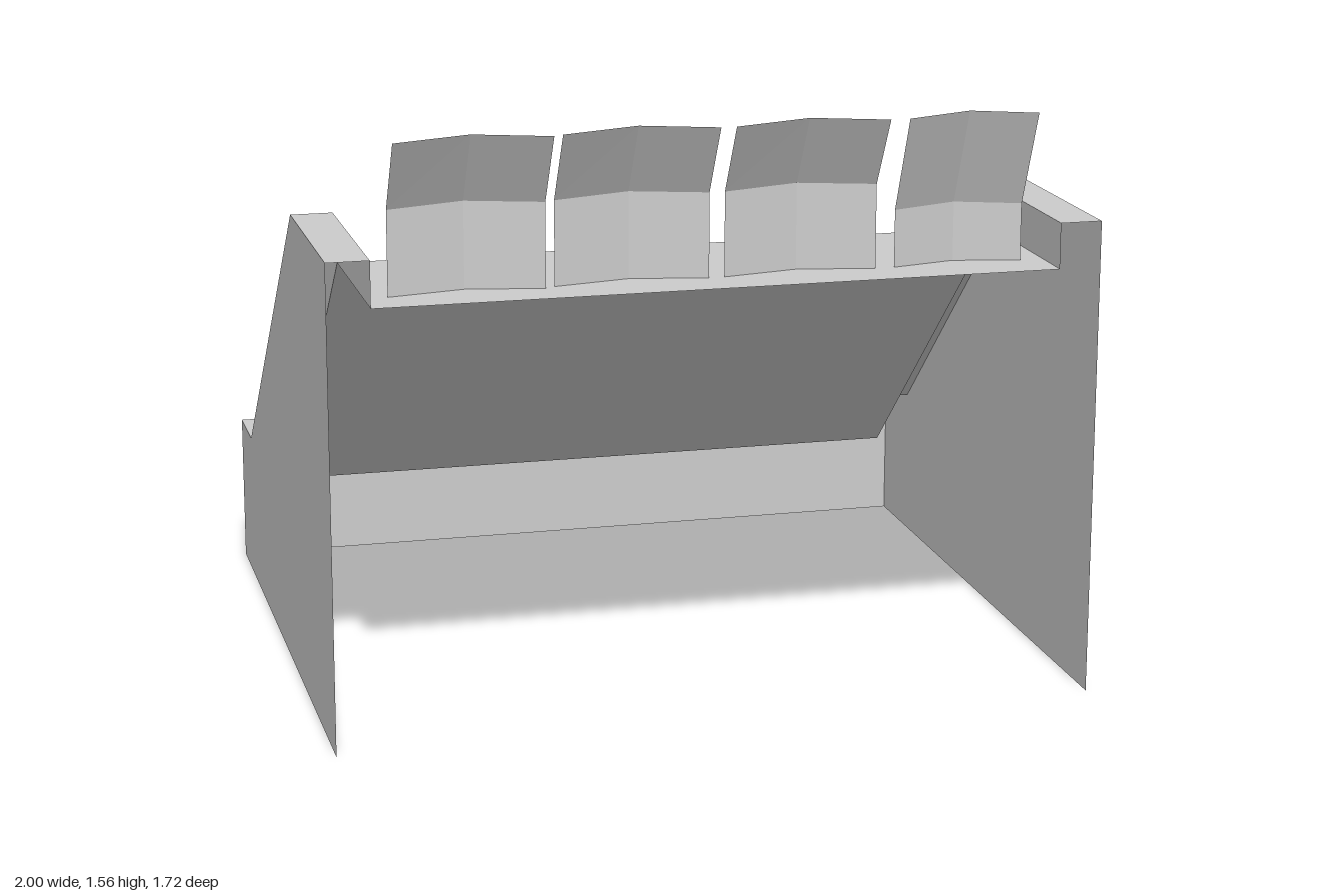
import * as THREE from 'three';

const grey = new THREE.MeshStandardMaterial({ color: 0xcccccc, side: THREE.DoubleSide });
grey.name = 'light grey';

// Outlines in (z, y), running from the low back to the high front
const RIM = [[-0.86, 0.415], [-0.655, 0.415], [0.28, 1.27], [0.86, 1.27]];
const DECK = [[-0.86, 0.3], [-0.605, 0.3], [0.34, 1.15], [0.86, 1.15]];
const HALF = 1, INNER = 0.89;

function addMesh(parent, name, geometry) {
  const mesh = new THREE.Mesh(geometry, grey);
  mesh.name = name;
  parent.add(mesh);
  return mesh;
}

// Faceted sheet through rows of [x, y, z] points
function sheet(rows) {
  const cols = rows[0].length, index = [];
  for (let r = 0; r < rows.length - 1; r++) {
    for (let c = 0; c < cols - 1; c++) {
      const a = r * cols + c, b = a + cols;
      index.push(a, a + 1, b, b, a + 1, b + 1);
    }
  }
  const g = new THREE.BufferGeometry();
  g.setAttribute('position', new THREE.Float32BufferAttribute(rows.flat(2), 3));
  g.setIndex(index);
  const flat = g.toNonIndexed();
  flat.computeVertexNormals();
  return flat;
}

// Sweep a (z, y) profile straight across x
const band = (x0, x1, profile) => sheet(profile.map(([z, y]) => [[x0, y, z], [x1, y, z]].reverse()));

// Flat wall with a (z, y) outline standing at x
function wall(x, outline) {
  const shape = new THREE.Shape(outline.map(([z, y]) => new THREE.Vector2(z, y)));
  return new THREE.ShapeGeometry(shape).rotateY(-Math.PI / 2).translate(x, 0, 0);
}

// Shallow rounded strip following the floor and the slope up to zEnd
function ridge(x0, x1, zEnd, height) {
  const slope = 0.85 / 0.945, len = Math.hypot(1, slope);
  const path = [
    { z: -0.7, y: 0.302, n: [0, 1] },
    { z: -0.612, y: 0.302, n: [0, 1] },
    { z: zEnd, y: 0.3 + (zEnd + 0.605) * slope, n: [-slope / len, 1 / len] },
  ];
  const steps = 6;
  return sheet(path.map(({ z, y, n }) => Array.from({ length: steps + 1 }, (_, i) => {
    const h = 0.002 + height * Math.sin(Math.PI * i / steps);
    return [x1 + (x0 - x1) * i / steps, y + n[1] * h, z + n[0] * h];
  })));
}

// Upright panel creased down the middle and leaning forward at the top
function uprightPanel(x0, x1, z, foldY) {
  const mid = (x0 + x1) / 2;
  const row = (y, dz, crown) => [[x1, y, z + dz + 0.04], [mid, y + crown, z + dz], [x0, y, z + dz + 0.04]];
  return sheet([row(1.15, 0, 0), row(foldY, 0, 0.005), row(1.555, 0.108, 0.006)]);
}

export function createModel() {
  const model = new THREE.Group();
  model.name = 'slopedStand';

  // Hollow casing, open at the front and underneath
  const casing = new THREE.Group();
  casing.name = 'casing';
  model.add(casing);
  for (const s of [1, -1]) {
    const side = s > 0 ? 'left' : 'right';
    addMesh(casing, side + 'OuterWall', wall(s * HALF, [[-0.86, 0], ...RIM, [0.86, 0]]));
    addMesh(casing, side + 'InnerWall', wall(s * INNER, [...RIM, ...[...DECK].reverse()]));
    addMesh(casing, side + 'Rim', band(Math.min(s * HALF, s * INNER), Math.max(s * HALF, s * INNER), RIM));
  }
  addMesh(casing, 'deck', band(-INNER, INNER, DECK));

  // Back wall with low middle and raised corners
  const back = new THREE.Shape([
    [-HALF, 0], [HALF, 0], [HALF, 0.415], [INNER, 0.415],
    [INNER, 0.3], [-INNER, 0.3], [-INNER, 0.415], [-HALF, 0.415],
  ].map(([x, y]) => new THREE.Vector2(x, y)));
  addMesh(casing, 'backWall', new THREE.ShapeGeometry(back).rotateY(Math.PI).translate(0, 0, -0.86));

  // Stop bar along the foot of the slope
  const bar = new THREE.Shape([[-0.77, 0.301], [-0.76, 0.362], [-0.71, 0.362], [-0.704, 0.301]]
    .map(([z, y]) => new THREE.Vector2(-z, y)));
  addMesh(model, 'stopBar', new THREE.ExtrudeGeometry(bar, { depth: 1.81, bevelEnabled: false })
    .rotateY(Math.PI / 2).translate(-0.905, 0, 0));

  // Raised pages and ribs on the slope
  [[-0.6, -0.305], [-0.3, -0.01]].forEach(([a, b], i) =>
    addMesh(model, 'page' + (i + 1), ridge(a, b, 0.255, 0.012)));
  [[0.23, 0.3], [0.38, 0.45]].forEach(([a, b], i) =>
    addMesh(model, 'rib' + (i + 1), ridge(a, b, 0.342, 0.014)));

  // Row of bent panels along the high edge
  const panels = [
    [-0.83, -0.43, 0.71, 1.37], [-0.405, -0.005, 0.696, 1.37],
    [0.035, 0.435, 0.696, 1.37], [0.485, 0.828, 0.696, 1.3],
  ];
  panels.forEach((p, i) => addMesh(model, 'uprightPanel' + (i + 1), uprightPanel(...p)));

  return model;
}
